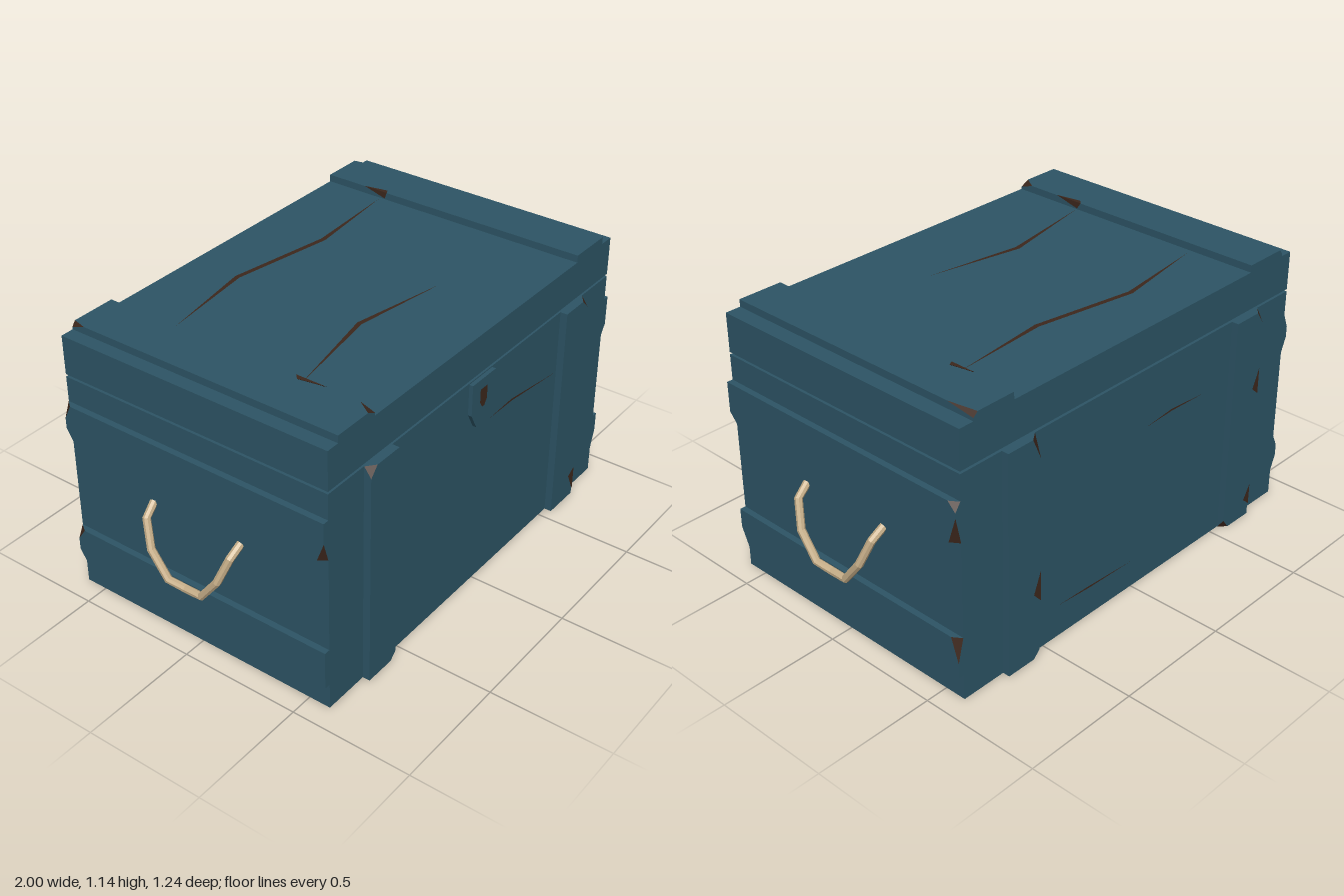
import * as THREE from 'three';
import { ConvexGeometry } from 'three/addons/geometries/ConvexGeometry.js';

const mat = (name, color) => {
  const m = new THREE.MeshStandardMaterial({ color });
  m.name = name;
  return m;
};

export function createModel() {
  const paint = mat('blue paint', 0x2d5566);
  const wood = mat('bare wood', 0x3d271c);
  const rope = mat('rope', 0xc8b08a);
  rope.flatShading = true;

  const model = new THREE.Group();
  model.name = 'crate';
  const V = (x, y, z) => new THREE.Vector3(x, y, z);
  const add = (name, geo, material) => {
    const mesh = new THREE.Mesh(geo, material);
    mesh.name = name;
    model.add(mesh);
    return mesh;
  };
  const box = (name, lo, hi) => {
    const g = new THREE.BoxGeometry(hi[0] - lo[0], hi[1] - lo[1], hi[2] - lo[2]);
    g.translate((lo[0] + hi[0]) / 2, (lo[1] + hi[1]) / 2, (lo[2] + hi[2]) / 2);
    return add(name, g, paint);
  };

  // Plank with corners cut off; chip = [signs of the corner, cut lengths].
  // The slanted cut faces go into a second, bare wood group.
  function plank(name, lo, hi, chips = []) {
    const pts = [];
    for (const sx of [-1, 1]) for (const sy of [-1, 1]) for (const sz of [-1, 1]) {
      const s = [sx, sy, sz];
      const corner = s.map((v, i) => (v < 0 ? lo[i] : hi[i]));
      const chip = chips.find(c => c[0].every((v, i) => v === s[i]));
      if (!chip) { pts.push(V(...corner)); continue; }
      for (let i = 0; i < 3; i++) {
        const p = corner.slice();
        p[i] -= s[i] * chip[1][i];
        pts.push(V(...p));
      }
    }
    const hull = new ConvexGeometry(pts);
    const pos = hull.attributes.position, nor = hull.attributes.normal;
    const flat = [], cut = [];
    for (let i = 0; i < pos.count; i += 3) {
      const n = [nor.getX(i), nor.getY(i), nor.getZ(i)].map(Math.abs);
      const list = Math.max(...n) > 0.999 ? flat : cut;
      for (let k = i; k < i + 3; k++) list.push(pos.getX(k), pos.getY(k), pos.getZ(k));
    }
    const g = new THREE.BufferGeometry();
    g.setAttribute('position', new THREE.Float32BufferAttribute(flat.concat(cut), 3));
    g.computeVertexNormals();
    g.addGroup(0, flat.length / 3, 0);
    if (cut.length) g.addGroup(flat.length / 3, cut.length / 3, 1);
    add(name, g, [paint, wood]);
  }

  // Scuff on a long edge: two edge ends and one point on each adjoining face
  function scuff(points, out) {
    const g = new ConvexGeometry(points.map(p => V(...p)));
    g.translate(...out);
    add('edgeScuff', g, wood);
  }

  // Body and lid with a narrow gap between them
  box('body', [-0.905, 0, -0.59], [0.905, 0.935, 0.59]);
  box('lid', [-0.905, 0.945, -0.59], [0.905, 1.105, 0.59]);

  // Upright planks on front and back
  const d = 0.029;
  plank('frontPlankRight', [-0.71, 0, 0.59], [-0.55, 0.935, 0.62],
    [[[-1, 1, 1], [0.035, 0.04, d]], [[1, -1, 1], [0.03, 0.03, d]]]);
  plank('frontPlankLeft', [0.55, 0, 0.59], [0.71, 0.935, 0.62],
    [[[1, 1, 1], [0.04, 0.04, d]]]);
  plank('backPlankLeft', [0.55, 0, -0.62], [0.71, 0.935, -0.59],
    [[[-1, 1, -1], [0.04, 0.09, d]], [[-1, -1, -1], [0.03, 0.03, d]]]);
  plank('backPlankRight', [-0.71, 0, -0.62], [-0.55, 0.935, -0.59],
    [[[-1, 1, -1], [0.035, 0.05, d]], [[1, -1, -1], [0.03, 0.04, d]]]);
  scuff([[0.71, 0.02, 0.62], [0.71, 0.13, 0.62], [0.67, 0.105, 0.62], [0.71, 0.105, 0.592]],
    [0.002, 0, 0.002]);
  scuff([[0.55, 0.25, -0.62], [0.55, 0.38, -0.62], [0.585, 0.29, -0.62], [0.55, 0.29, -0.592]],
    [-0.002, 0, -0.002]);
  for (const [y0, y1] of [[0.57, 0.68], [0.05, 0.14]])
    scuff([[-0.71, y0, -0.62], [-0.71, y1, -0.62], [-0.675, y0 + 0.03, -0.62],
      [-0.71, y0 + 0.03, -0.592]], [-0.002, 0, -0.002]);

  // Level planks on the two ends
  const e = 0.024;
  plank('lowerEndPlankLeft', [0.905, 0.11, -0.59], [0.93, 0.27, 0.59],
    [[[1, -1, 1], [e, 0.08, 0.035]], [[1, 1, -1], [e, 0.1, 0.035]]]);
  plank('upperEndPlankLeft', [0.905, 0.665, -0.59], [0.93, 0.83, 0.59],
    [[[1, -1, 1], [e, 0.04, 0.035]], [[1, 1, -1], [e, 0.035, 0.035]],
      [[1, -1, -1], [e, 0.11, 0.035]]]);
  plank('lowerEndPlankRight', [-0.93, 0.11, -0.59], [-0.905, 0.27, 0.59],
    [[[-1, -1, -1], [e, 0.06, 0.035]], [[-1, 1, -1], [e, 0.05, 0.035]]]);
  plank('upperEndPlankRight', [-0.93, 0.665, -0.59], [-0.905, 0.83, 0.59],
    [[[-1, -1, 1], [e, 0.08, 0.03]], [[-1, -1, -1], [e, 0.06, 0.035]],
      [[-1, 1, -1], [e, 0.06, 0.03]]]);

  // Strips across the lid
  plank('lidStripRight', [-0.85, 1.105, -0.59], [-0.65, 1.135, 0.59],
    [[[1, 1, 1], [0.04, 0.02, 0.06]], [[-1, 1, -1], [0.015, 0.02, 0.06]]]);
  plank('lidStripLeft', [0.65, 1.105, -0.59], [0.84, 1.135, 0.59],
    [[[1, 1, -1], [0.02, 0.018, 0.12]]]);
  scuff([[-0.65, 1.135, 0.26], [-0.65, 1.135, 0.39], [-0.67, 1.135, 0.28], [-0.65, 1.107, 0.28]],
    [0.002, 0.002, 0]);
  scuff([[0.65, 1.135, -0.41], [0.65, 1.135, -0.3], [0.67, 1.135, -0.31], [0.65, 1.107, -0.31]],
    [-0.002, 0.002, 0]);

  // Cracks: thin tapering blades that follow a bent line
  function crack(name, line, width) {
    const last = line.length - 1;
    const shape = new THREE.Shape();
    shape.moveTo(...line[0]);
    for (let i = 1; i <= last; i++) shape.lineTo(...line[i]);
    for (let i = last - 1; i > 0; i--) shape.lineTo(line[i][0], line[i][1] - width);
    shape.closePath();
    return add(name, new THREE.ShapeGeometry(shape), wood);
  }
  const lidCracks = [
    [[-0.62, 0.31], [-0.21, 0.378], [0.22, 0.305], [0.64, 0.33]],
    [[-0.65, -0.28], [-0.21, -0.19], [0.2, -0.27]],
  ];
  for (const line of lidCracks) {
    const c = crack('lidCrack', line, 0.02);
    c.rotation.x = -Math.PI / 2;
    c.position.y = 1.107;
  }
  crack('frontCrack', [[0.06, 0.708], [0.22, 0.715], [0.55, 0.668]], 0.009).position.z = 0.592;
  const backCracks = [
    [[0.05, 0.69], [0.2, 0.705], [0.4, 0.69]],
    [[-0.42, 0.14], [-0.25, 0.135], [0, 0.12]],
  ];
  for (const line of backCracks) {
    const c = crack('backCrack', line, 0.008);
    c.rotation.y = Math.PI;
    c.position.z = -0.592;
  }

  // Lock plate and keyhole
  const plate = new THREE.Shape([[-0.08, 0.93], [-0.08, 0.8], [-0.045, 0.735], [0.035, 0.735],
    [0.07, 0.8], [0.07, 0.93]].map(p => new THREE.Vector2(...p)));
  add('lockPlate', new THREE.ExtrudeGeometry(plate, { depth: 0.016, bevelEnabled: false }), paint)
    .position.z = 0.59;
  const hole = new THREE.Shape([[-0.03, 0.89], [-0.03, 0.835], [-0.015, 0.81], [0, 0.81],
    [0.015, 0.835], [0.015, 0.89]].map(p => new THREE.Vector2(...p)));
  add('keyhole', new THREE.ShapeGeometry(hole), wood).position.z = 0.608;

  // Rope handles: a tube bent sharply at each point
  class Polyline extends THREE.Curve {
    constructor(points) { super(); this.points = points; }
    getPoint(t, target = new THREE.Vector3()) {
      const f = t * (this.points.length - 1);
      const i = Math.min(Math.floor(f + 1e-6), this.points.length - 2);
      return target.lerpVectors(this.points[i], this.points[i + 1], f - i);
    }
    getPointAt(u, target) { return this.getPoint(u, target); }
    getTangentAt(u, target) { return this.getTangent(u, target); }
  }
  const half = [[0.9, 0.55, 0.203], [0.953, 0.51, 0.195], [0.982, 0.405, 0.155], [0.984, 0.305, 0.078]];
  for (const side of [-1, 1]) {
    const pts = [
      ...half.map(([x, y, z]) => V(side * x, y, z)),
      V(side * 0.978, 0.297, 0),
      ...half.slice().reverse().map(([x, y, z]) => V(side * x, y, -z)),
    ];
    add(side > 0 ? 'handleLeft' : 'handleRight',
      new THREE.TubeGeometry(new Polyline(pts), pts.length - 1, 0.016, 8, false), rope);
  }
  return model;
}
